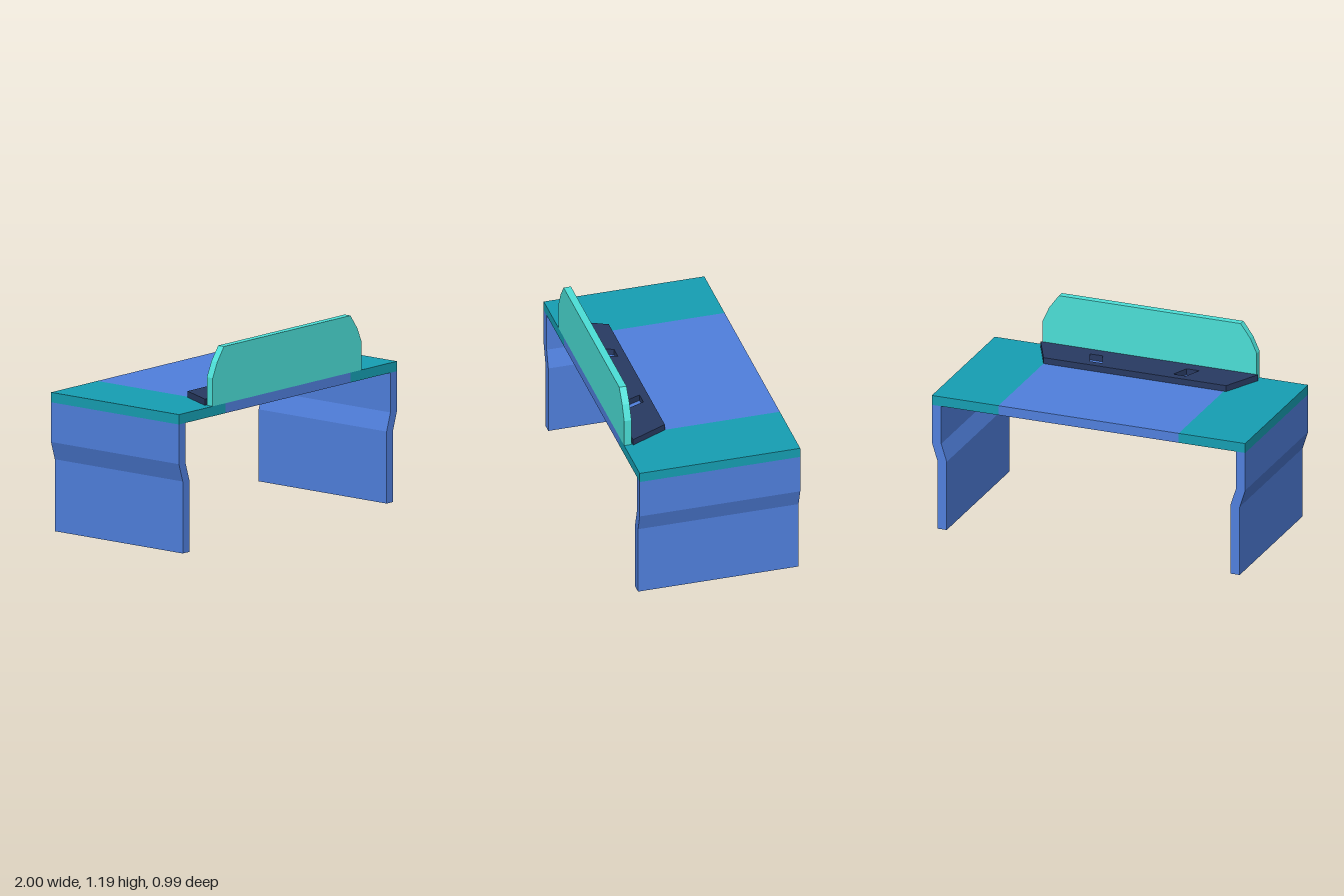
import * as THREE from 'three';

const BLUE = 0x5080de, TEAL = 0x169fb3, NAVY = 0x283a62, TURQUOISE = 0x4ce0d8;
const TOP = 0.845, THICK = 0.06, HALF_DEPTH = 0.495, INLAY = 0.575;

const material = (color) => new THREE.MeshStandardMaterial({ color, flatShading: true });
const outline = (points) => points.map(([x, y]) => new THREE.Vector2(x, y));

function extrude(name, points, depth, color, holes = []) {
  const shape = new THREE.Shape(outline(points));
  shape.holes = holes.map((h) => new THREE.Path(outline(h)));
  const geometry = new THREE.ExtrudeGeometry(shape, { depth, bevelEnabled: false });
  const mesh = new THREE.Mesh(geometry, material(color));
  mesh.name = name;
  return mesh;
}

function slab(name, x0, x1, color) {
  const mesh = new THREE.Mesh(new THREE.BoxGeometry(x1 - x0, THICK, 2 * HALF_DEPTH), material(color));
  mesh.position.set((x0 + x1) / 2, TOP - THICK / 2, 0);
  mesh.name = name;
  return mesh;
}

export function createModel() {
  const desk = new THREE.Group();
  desk.name = 'desk';

  // Table top in three coloured sections
  desk.add(slab('topCentre', -INLAY, INLAY, BLUE));
  desk.add(slab('topLeft', INLAY, 1, TEAL));
  desk.add(slab('topRight', -1, -INLAY, TEAL));

  // Full-depth side legs that step inwards halfway down
  const legTop = TOP - THICK;
  const legProfile = [
    [0.905, 0], [0.965, 0], [0.965, 0.435], [1, 0.545],
    [1, legTop], [0.94, legTop], [0.94, 0.545], [0.905, 0.435],
  ];
  for (const [name, side] of [['leftLeg', 1], ['rightLeg', -1]]) {
    const leg = extrude(name, legProfile.map(([x, y]) => [side * x, y]), 2 * HALF_DEPTH, BLUE);
    leg.position.z = -HALF_DEPTH;
    desk.add(leg);
  }

  // Upright front screen with clipped upper corners
  const corner = [[0.683, TOP], [0.683, 1.015], [0.642, 1.105], [0.58, 1.19]];
  const mirrored = corner.map(([x, y]) => [-x, y]).reverse();
  const screen = extrude('frontScreen', [...corner, ...mirrored], 0.045, TURQUOISE);
  screen.position.set(-0.007, 0, 0.45);
  desk.add(screen);

  // Flat trapezoid console behind the screen, with two slanted slots
  const slot = [[0.225, 0.265], [0.305, 0.265], [0.348, 0.372], [0.268, 0.372]];
  const console_ = extrude(
    'console',
    [[-0.583, 0.215], [0.583, 0.215], [0.693, 0.443], [-0.693, 0.443]],
    0.038, NAVY,
    [slot, slot.map(([x, z]) => [-x, z])],
  );
  console_.rotation.x = Math.PI / 2;
  console_.position.set(-0.007, TOP + 0.038, 0);
  desk.add(console_);

  return desk;
}
